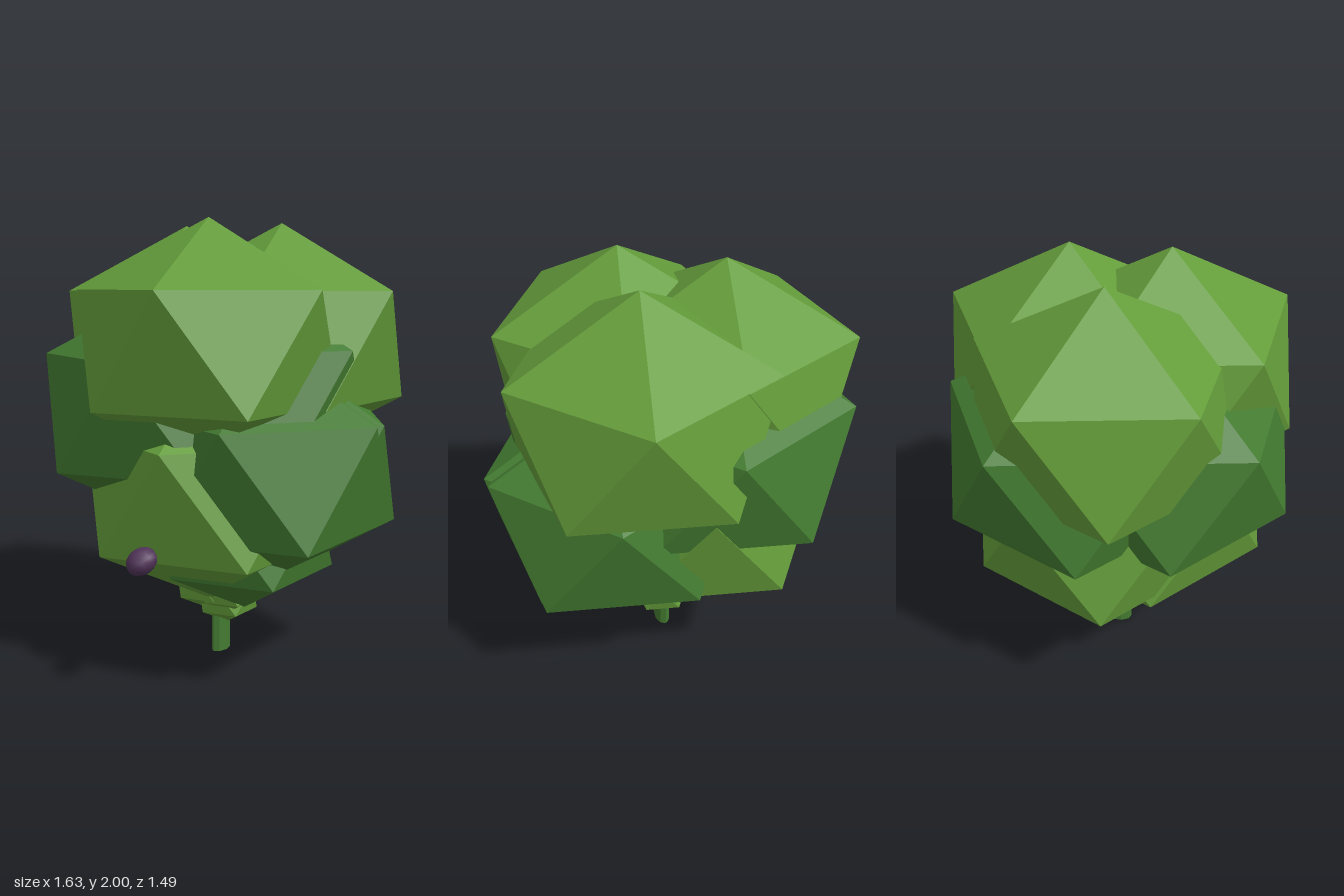
import * as THREE from 'three';

export function createModel() {
  const tree = new THREE.Group();
  tree.name = 'tree';

  const mat = (name, color, flat = true) => {
    const m = new THREE.MeshStandardMaterial({ color, flatShading: flat });
    m.name = name;
    return m;
  };
  const lightLeaf = mat('light leaf green', 0x649c3a);
  const darkLeaf = mat('dark leaf green', 0x437b31);
  const berryPurple = mat('berry purple', 0x513459, false);

  // Twenty-sided clump standing on one corner, a little squashed in height
  const clumpGeometry = new THREE.IcosahedronGeometry(1, 0);
  clumpGeometry.rotateZ(-Math.atan(2 / (1 + Math.sqrt(5))));
  const squash = 0.857;

  const addClumps = (name, material, radius, centres) => {
    const group = new THREE.Group();
    group.name = name;
    centres.forEach(([x, y, z], i) => {
      const clump = new THREE.Mesh(clumpGeometry, material);
      clump.name = `${name}${i + 1}`;
      clump.position.set(x, y, z);
      clump.scale.set(radius, radius * squash, radius);
      group.add(clump);
    });
    tree.add(group);
  };

  // Leaf layers from the top down
  addClumps('crownLeaves', lightLeaf, 0.626, [
    [0.10, 1.463, 0.21], [0.18, 1.457, -0.21], [-0.26, 1.455, -0.07],
  ]);
  addClumps('upperLeaves', darkLeaf, 0.626, [
    [-0.147, 1.18, 0.18], [0.125, 1.22, 0.01], [-0.19, 1.215, -0.2],
  ]);
  addClumps('sideLeaves', darkLeaf, 0.626, [
    [0.25, 0.92, 0.015], [0.248, 0.92, -0.045],
  ]);
  addClumps('middleLeaves', lightLeaf, 0.626, [
    [0.03, 0.83, 0.115], [-0.13, 0.885, -0.105],
  ]);
  addClumps('lowerLeaves', darkLeaf, 0.443, [
    [0.17, 0.64, 0.04], [-0.17, 0.725, -0.145], [-0.03, 0.70, 0.0],
  ]);
  addClumps('stemLeaves', lightLeaf, 0.157, [
    [-0.06, 0.34, 0.04], [0.015, 0.265, -0.03], [0.05, 0.33, 0.0],
  ]);

  // Stem
  const stem = new THREE.Mesh(new THREE.CylinderGeometry(1, 1, 0.4, 8), darkLeaf);
  stem.name = 'stem';
  stem.position.set(-0.003, 0.2, -0.003);
  stem.scale.set(0.034, 1, 0.057);
  tree.add(stem);

  // Berry on the front
  const berry = new THREE.Mesh(new THREE.SphereGeometry(1, 10, 7), berryPurple);
  berry.name = 'berry';
  berry.position.set(0.1, 0.62, 0.645);
  berry.scale.set(0.066, 0.054, 0.07);
  berry.rotation.set(0.35, 0, 0.35);
  tree.add(berry);

  return tree;
}
